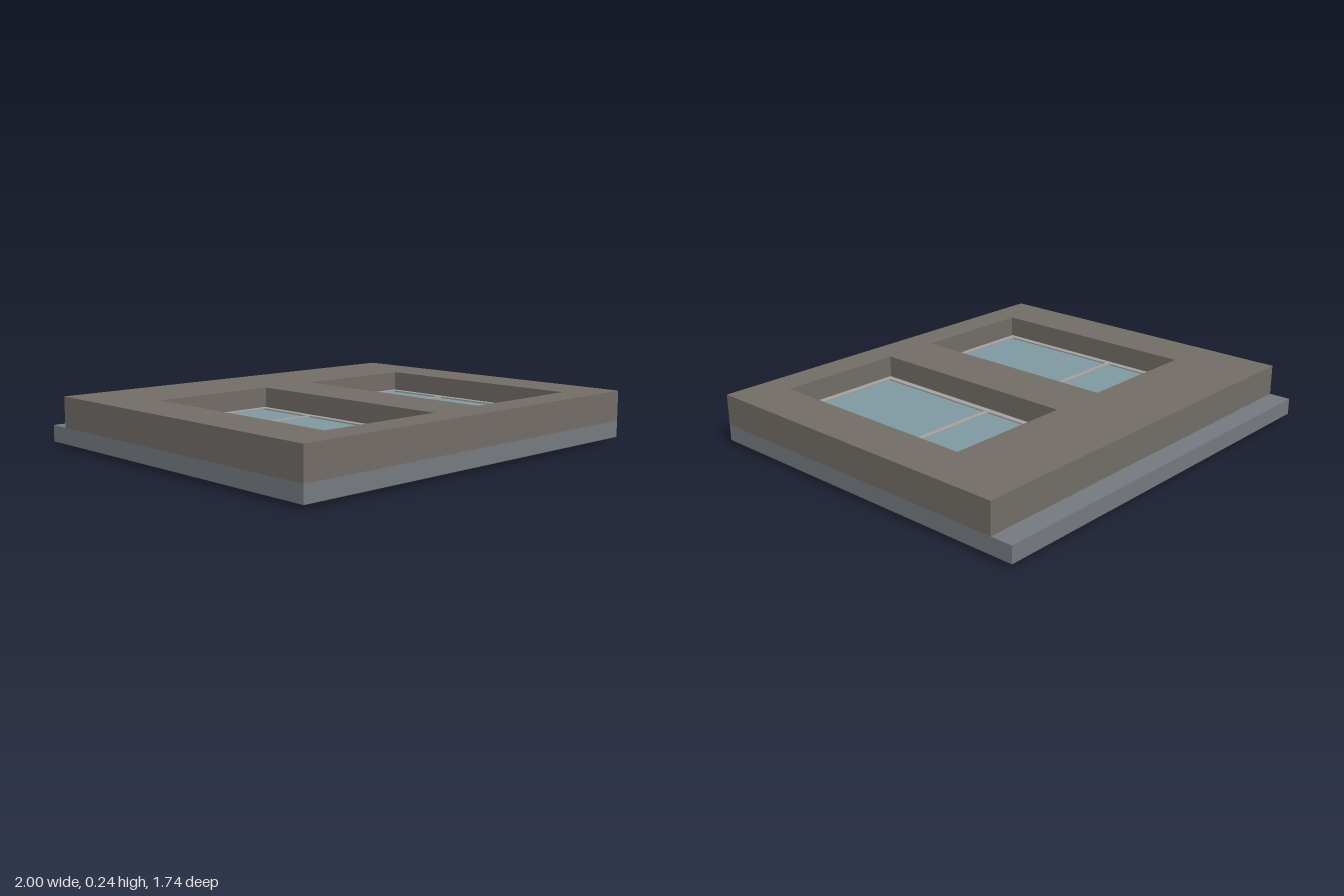
import * as THREE from 'three';

const mat = (color) => new THREE.MeshStandardMaterial({ color });
const cladding = mat(0x726d67), core = mat(0x767a80), inner = mat(0x5c645e);
const frameMat = mat(0xa3a19f), glassMat = mat(0x7f9aa3), white = mat(0xffffff), wood = mat(0x7a4a1c);

const centres = [-0.4475, 0.4545]; // window centre lines in x

function rectPoints(x0, x1, z0, z1) {
  return [[x0, z0], [x1, z0], [x1, z1], [x0, z1]].map(([x, z]) => new THREE.Vector2(x, z));
}

// Flat plate in the xz plane between heights y0 and y1, with rectangular holes
function plate(name, rect, holes, y0, y1, material) {
  const shape = new THREE.Shape(rectPoints(...rect));
  for (const h of holes) shape.holes.push(new THREE.Path(rectPoints(...h)));
  const geo = new THREE.ExtrudeGeometry(shape, { depth: y1 - y0, bevelEnabled: false });
  geo.rotateX(Math.PI / 2).translate(0, y1, 0);
  const mesh = new THREE.Mesh(geo, material);
  mesh.name = name;
  return mesh;
}

// Window lying in its opening, built around x = 0
function createWindow() {
  const g = new THREE.Group();
  g.name = 'window';
  const outer = [-0.28, 0.28, -0.335, 0.69];
  const lower = [-0.25, 0.25, -0.305, -0.005];
  const upper = [-0.25, 0.25, 0.02, 0.66];
  // pale lining of the inner reveal
  g.add(plate('revealLining', [-0.28, 0.28, -0.36, 0.69], [[-0.274, 0.274, -0.355, 0.684]], 0.02, 0.1, frameMat));
  // frame with crossbar, and one pane on each side of it
  g.add(plate('windowFrame', outer, [lower, upper], 0.1, 0.155, frameMat));
  g.add(plate('lowerPane', lower, [], 0.125, 0.148, glassMat));
  g.add(plate('upperPane', upper, [], 0.125, 0.148, glassMat));
  // outer sill and thin inner sill board
  g.add(plate('outerSill', [-0.267, 0.267, -0.357, -0.335], [], 0.1, 0.15, white));
  g.add(plate('innerSillBoard', [-0.267, 0.267, -0.36, -0.353], [], 0, 0.1, wood));
  return g;
}

export function createModel() {
  const model = new THREE.Group();
  model.name = 'wallPanel';
  const slab = [-1, 1, -0.87, 0.87];
  const smallHoles = centres.map((c) => [c - 0.28, c + 0.28, -0.36, 0.69]);
  const largeHoles = centres.map((c) => [c - 0.31, c + 0.31, -0.363, 0.72]);

  // wall layers from inside to outside
  model.add(plate('innerFinish', slab, smallHoles, 0.02, 0.022, inner));
  model.add(plate('wallCore', slab, smallHoles, 0.022, 0.098, core));
  model.add(plate('outerLayer', [-1, 1, -0.765, 0.87], largeHoles, 0.098, 0.243, cladding));

  for (const c of centres) {
    const w = createWindow();
    w.position.x = c;
    model.add(w);
  }
  return model;
}
